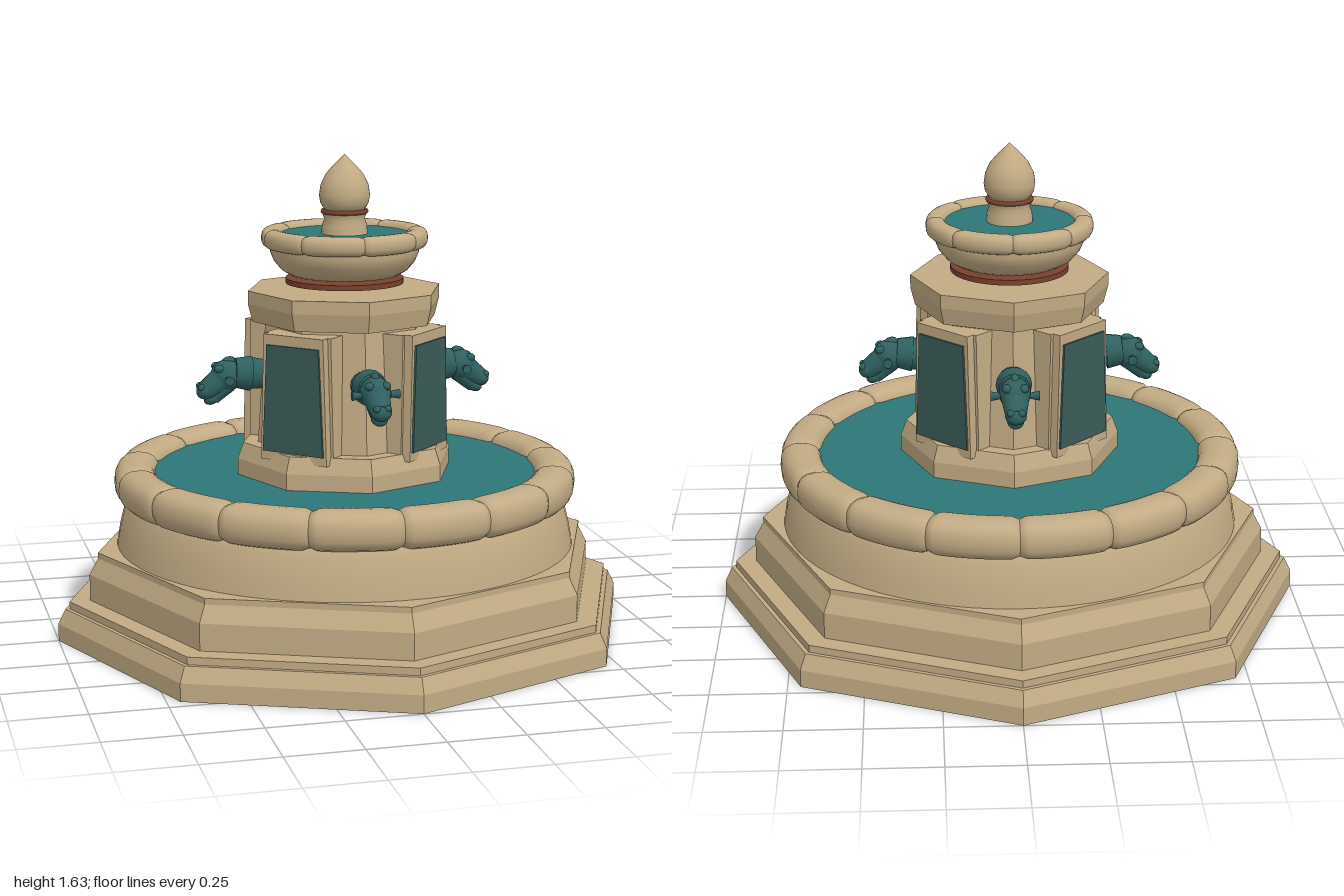
import * as THREE from 'three';
import { ParametricGeometry } from 'three/addons/geometries/ParametricGeometry.js';

const mat = (color, flatShading = false) =>
  new THREE.MeshStandardMaterial({ color, flatShading, side: THREE.DoubleSide });
const STONE = mat(0xc2ab84), CUT_STONE = mat(0xc2ab84, true);
const WATER = mat(0x2c7778), PANEL = mat(0x3a5c58, true), BRONZE = mat(0x2f6060), COPPER = mat(0x7a412e);

function add(parent, name, geometry, material, x = 0, y = 0, z = 0) {
  const mesh = new THREE.Mesh(geometry, material);
  mesh.name = name;
  mesh.position.set(x, y, z);
  parent.add(mesh);
  return mesh;
}

// Turned profile of [radius, height] pairs; 8 sides gives an octagon with corners on the axes
const turned = (points, sides) =>
  new THREE.LatheGeometry(points.map(([r, y]) => new THREE.Vector2(r, y)), sides);

// Ring of pillow-shaped coping stones, pinched at the joints
function stoneRing(parent, name, count, R, rx, ry, y) {
  const ring = new THREE.Group();
  ring.name = name;
  const step = (Math.PI * 2) / count;
  const soft = (c) => Math.sign(c) * Math.abs(c) ** 0.8;
  const geometry = new ParametricGeometry((u, v, target) => {
    const a = u * step, b = v * Math.PI * 2;
    const s = 1 - 0.15 * Math.abs(2 * u - 1) ** 12;
    const r = R + rx * s * soft(Math.cos(b));
    target.set(r * Math.sin(a), ry * s * soft(Math.sin(b)), r * Math.cos(a));
  }, 12, 20);
  for (let i = 0; i < count; i++) add(ring, 'copingStone', geometry, STONE, 0, y, 0).rotation.y = i * step;
  parent.add(ring);
}

// Upright tapered slab, extruded from z0 to z1
function slab(halfBottom, halfTop, y0, y1, z0, z1) {
  const shape = new THREE.Shape([
    new THREE.Vector2(-halfBottom, y0), new THREE.Vector2(halfBottom, y0),
    new THREE.Vector2(halfTop, y1), new THREE.Vector2(-halfTop, y1)]);
  return new THREE.ExtrudeGeometry(shape, { depth: z1 - z0, bevelEnabled: false }).translate(0, 0, z0);
}

// Rounded blob
function blob(parent, name, x, y, z, sx, sy, sz, tilt = 0) {
  const mesh = add(parent, name, new THREE.SphereGeometry(1, 16, 12), BRONZE, x, y, z);
  mesh.scale.set(sx, sy, sz);
  mesh.rotation.x = tilt;
}

// Tapered round bar between two points in the yz plane
function bar(parent, name, y0, z0, y1, z1, r0, r1) {
  const a = new THREE.Vector3(0, y0, z0), b = new THREE.Vector3(0, y1, z1);
  const dir = b.clone().sub(a);
  const mesh = add(parent, name, new THREE.CylinderGeometry(r1, r0, dir.length(), 16), BRONZE);
  mesh.position.copy(a).add(b).multiplyScalar(0.5);
  mesh.quaternion.setFromUnitVectors(new THREE.Vector3(0, 1, 0), dir.normalize());
}

// Animal head spout facing +z
function spoutHead() {
  const head = new THREE.Group();
  head.name = 'spoutHead';
  bar(head, 'neck', 0.885, 0.24, 0.895, 0.34, 0.045, 0.056);
  bar(head, 'collar', 0.893, 0.33, 0.898, 0.385, 0.06, 0.05);
  blob(head, 'skull', 0, 0.89, 0.41, 0.052, 0.054, 0.056);
  bar(head, 'muzzle', 0.887, 0.415, 0.838, 0.485, 0.048, 0.034);
  blob(head, 'nose', 0, 0.842, 0.482, 0.036, 0.03, 0.034, 0.5);
  bar(head, 'lowerJaw', 0.865, 0.41, 0.815, 0.462, 0.036, 0.026);
  blob(head, 'chin', 0, 0.815, 0.462, 0.028, 0.021, 0.03, 0.5);
  blob(head, 'crest', 0, 0.938, 0.405, 0.014, 0.016, 0.025, 0.3);
  for (const s of [-1, 1]) {
    const ear = add(head, 'ear', new THREE.CylinderGeometry(0.016, 0.008, 0.04, 10), BRONZE, s * 0.06, 0.885, 0.415);
    ear.rotation.z = -s * Math.PI / 2;
    blob(head, 'brow', s * 0.028, 0.918, 0.44, 0.016, 0.014, 0.018);
    blob(head, 'nostril', s * 0.018, 0.855, 0.5, 0.013, 0.012, 0.013);
  }
  return head;
}

export function createModel() {
  const fountain = new THREE.Group();
  fountain.name = 'fountain';

  // Stepped octagonal base
  add(fountain, 'steppedBase', turned([[0, 0], [1, 0], [1, 0.06], [0.975, 0.11], [0.96, 0.11], [0.96, 0.135],
    [0.89, 0.135], [0.89, 0.225], [0.86, 0.28], [0.86, 0.3], [0, 0.3]], 8), CUT_STONE);

  // Main basin
  add(fountain, 'basinWall', turned([[0.785, 0.3], [0.775, 0.36], [0.755, 0.44], [0.73, 0.475]], 64), STONE);
  stoneRing(fountain, 'basinRim', 16, 0.72, 0.071, 0.066, 0.518);
  add(fountain, 'basinWater', new THREE.CircleGeometry(0.67, 64).rotateX(-Math.PI / 2), WATER, 0, 0.545, 0);

  // Octagonal column with foot and cap
  add(fountain, 'columnFoot', turned([[0.375, 0.5], [0.375, 0.6], [0.355, 0.655], [0, 0.655]], 8), CUT_STONE);
  add(fountain, 'columnBody', turned([[0.305, 0.64], [0.275, 1.08]], 8), CUT_STONE);
  add(fountain, 'columnCap', turned([[0, 1.07], [0.32, 1.07], [0.335, 1.13], [0.335, 1.175], [0, 1.175]], 8), CUT_STONE);

  // Framed panels on the diagonals, spout heads on the axes
  for (let i = 0; i < 4; i++) {
    const bay = new THREE.Group();
    bay.name = 'panelBay';
    add(bay, 'frameBacking', slab(0.137, 0.127, 0.63, 1.055, 0.2, 0.3), CUT_STONE);
    add(bay, 'frame', slab(0.128, 0.115, 0.63, 1.055, 0.25, 0.33), CUT_STONE);
    add(bay, 'panel', slab(0.117, 0.1, 0.66, 1.02, 0.32, 0.337), PANEL);
    bay.rotation.y = Math.PI / 4 + (i * Math.PI) / 2;
    const head = spoutHead();
    head.rotation.y = (i * Math.PI) / 2;
    fountain.add(bay, head);
  }

  // Upper bowl above its thin copper ring
  add(fountain, 'copperRing', new THREE.CylinderGeometry(0.2, 0.2, 0.018, 48), COPPER, 0, 1.202, 0);
  add(fountain, 'upperBowl', turned([[0, 1.222], [0.185, 1.222], [0.215, 1.24], [0.24, 1.27], [0.252, 1.3], [0.25, 1.33]], 48), STONE);
  stoneRing(fountain, 'upperRim', 8, 0.248, 0.034, 0.033, 1.347);
  add(fountain, 'upperWater', new THREE.CircleGeometry(0.225, 48).rotateX(-Math.PI / 2), WATER, 0, 1.36, 0);

  // Finial
  add(fountain, 'finialStem', turned([[0.08, 1.34], [0.076, 1.39], [0.068, 1.41], [0.076, 1.43]], 32), STONE);
  const collar = add(fountain, 'finialRing', new THREE.TorusGeometry(0.073, 0.008, 8, 32), COPPER, 0, 1.435, 0);
  collar.rotation.x = Math.PI / 2;
  add(fountain, 'finialBulb', turned([[0, 1.435], [0.068, 1.44], [0.082, 1.465], [0.086, 1.49], [0.081, 1.525],
    [0.064, 1.56], [0.036, 1.592], [0.012, 1.615], [0, 1.627]], 32), STONE);

  return fountain;
}
